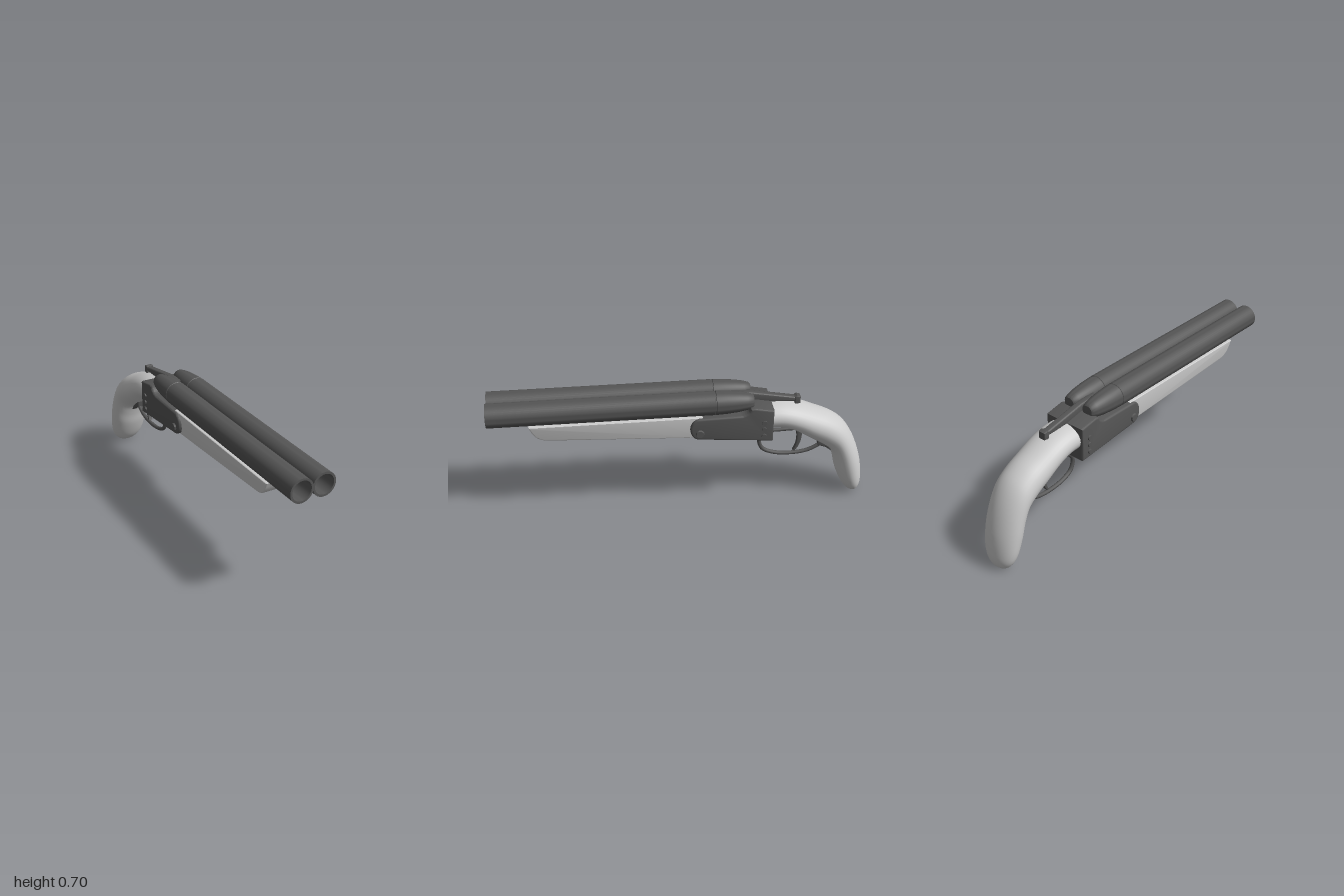
import * as THREE from 'three';
import { toCreasedNormals } from 'three/addons/utils/BufferGeometryUtils.js';

const wood = new THREE.MeshStandardMaterial({ color: 0xcccccc });
const metal = new THREE.MeshStandardMaterial({ color: 0x555555 });

const v2 = ([a, b]) => new THREE.Vector2(a, b);
const inPlane = ([z, y]) => new THREE.Vector3(0, y, z);

function add(parent, name, geometry, material) {
  const mesh = new THREE.Mesh(geometry, material);
  mesh.name = name;
  parent.add(mesh);
  return mesh;
}

// Extrudes a side outline given as [z, y] across x, centred, with rounded edges
function sidePlate(shape, width, bevel) {
  const geo = new THREE.ExtrudeGeometry(shape, {
    depth: width - 2 * bevel, bevelThickness: bevel, bevelSize: bevel,
    bevelOffset: -bevel, bevelSegments: 3, curveSegments: 12,
  });
  geo.translate(0, 0, bevel - width / 2);
  geo.rotateY(-Math.PI / 2);
  return geo;
}

function tube(points, radius, closed = false) {
  const curve = new THREE.CatmullRomCurve3(points.map(inPlane), closed);
  return new THREE.TubeGeometry(curve, 48, radius, 10, closed);
}

// Barrel with rounded breech end, seam groove and open bore, along z
function barrelGeometry() {
  const profile = [
    [0, -0.372], [0.03, -0.37], [0.038, -0.362], [0.046, -0.335], [0.054, -0.29],
    [0.06, -0.23], [0.063, -0.172], [0.0605, -0.17], [0.0605, -0.166], [0.063, -0.164],
    [0.063, 1], [0.052, 1], [0.052, 0.3], [0, 0.3],
  ].map(v2);
  const geo = new THREE.LatheGeometry(profile, 40);
  geo.rotateX(Math.PI / 2);
  return toCreasedNormals(geo, 0.6);
}

// Grip: elliptical rings between an upper and a lower outline
function gripGeometry() {
  // zTop, yTop, zBottom, yBottom, halfWidth
  const stations = [
    [-0.45, 0.602, -0.45, 0.455, 0.108], [-0.53, 0.598, -0.53, 0.45, 0.109],
    [-0.61, 0.58, -0.61, 0.42, 0.11], [-0.715, 0.54, -0.69, 0.368, 0.11],
    [-0.8, 0.502, -0.76, 0.325, 0.11], [-0.87, 0.45, -0.812, 0.28, 0.11],
    [-0.93, 0.36, -0.835, 0.22, 0.11], [-0.982, 0.215, -0.852, 0.15, 0.108],
    [-1, 0.09, -0.885, 0.07, 0.094], [-0.997, 0.045, -0.91, 0.03, 0.074],
    [-0.985, 0.014, -0.935, 0.008, 0.045], [-0.96, 0, -0.96, 0, 0.001],
  ];
  const top = new THREE.CatmullRomCurve3(stations.map((s) => new THREE.Vector3(s[4], s[1], s[0])));
  const bottom = new THREE.CatmullRomCurve3(stations.map((s) => new THREE.Vector3(s[4], s[3], s[2])));
  const rings = 55, sides = 32, pos = [], index = [];
  for (let j = 0; j <= rings; j++) {
    const a = top.getPoint(j / rings), b = bottom.getPoint(j / rings);
    for (let i = 0; i < sides; i++) {
      const t = (i / sides) * Math.PI * 2, s = Math.sin(t) / 2;
      pos.push(a.x * Math.cos(t), (a.y + b.y) / 2 + (a.y - b.y) * s, (a.z + b.z) / 2 + (a.z - b.z) * s);
      if (j === rings) continue;
      const p = j * sides + i, q = j * sides + ((i + 1) % sides);
      index.push(p, p + sides, q + sides, p, q + sides, q);
    }
  }
  const geo = new THREE.BufferGeometry();
  geo.setAttribute('position', new THREE.Float32BufferAttribute(pos, 3));
  geo.setIndex(index);
  geo.computeVertexNormals();
  return geo;
}

export function createModel() {
  const model = new THREE.Group();
  model.name = 'doubleBarrelModel';

  // Twin barrels
  for (const side of [-1, 1]) {
    const barrel = add(model, side > 0 ? 'leftBarrel' : 'rightBarrel', barrelGeometry(), metal);
    barrel.position.set(side * 0.0605, 0.637, 0);
  }

  // Receiver with round front ears and a raised rear block
  const body = new THREE.Shape();
  body.moveTo(-0.472, 0.418);
  body.lineTo(-0.08, 0.452);
  body.bezierCurveTo(-0.02, 0.46, -0.02, 0.565, -0.08, 0.577);
  body.lineTo(-0.3, 0.58);
  body.quadraticCurveTo(-0.34, 0.585, -0.35, 0.618);
  body.lineTo(-0.37, 0.622);
  body.lineTo(-0.472, 0.603);
  add(model, 'receiver', toCreasedNormals(sidePlate(body, 0.242, 0.01), 0.6), metal);

  // Hinge pins and side screws
  const screws = [[-0.085, 0.49, 0.026, 0.13], [-0.422, 0.535, 0.016, 0.127],
    [-0.422, 0.495, 0.016, 0.127], [-0.422, 0.455, 0.016, 0.127]];
  for (const side of [-1, 1]) {
    for (const [z, y, r, reach] of screws) {
      const geo = new THREE.CylinderGeometry(r * 0.75, r, 0.02, 20);
      geo.rotateZ(-side * Math.PI / 2);
      const big = r > 0.02;
      add(model, big ? 'hingePin' : 'sideScrew', toCreasedNormals(geo, 0.6), metal)
        .position.set(side * (reach - 0.01), y, z);
    }
  }

  // Fore-end, narrowing towards its flat underside
  const fore = new THREE.Shape();
  fore.moveTo(-0.1, 0.45);
  fore.lineTo(0.69, 0.491);
  fore.bezierCurveTo(0.755, 0.495, 0.77, 0.525, 0.79, 0.58);
  fore.lineTo(-0.1, 0.58);
  const foreGeo = sidePlate(fore, 0.22, 0.006);
  const p = foreGeo.attributes.position;
  for (let i = 0; i < p.count; i++) {
    p.setX(i, p.getX(i) * (1 - 0.9 * Math.max(0, 0.58 - p.getY(i))));
  }
  add(model, 'foreEnd', toCreasedNormals(foreGeo, 0.5), wood);

  // Small rod at the tip of the fore-end
  const rod = new THREE.CylinderGeometry(0.013, 0.013, 0.1, 20);
  rod.rotateX(Math.PI / 2);
  add(model, 'foreEndRod', rod, metal).position.set(0.002, 0.556, 0.775);

  // Curved grip
  add(model, 'grip', gripGeometry(), wood);

  // Top lever with its thumb piece
  const lever = new THREE.Shape([[-0.25, 0.625], [-0.25, 0.665], [-0.36, 0.66], [-0.61, 0.615],
    [-0.61, 0.592], [-0.46, 0.595]].map(v2));
  add(model, 'topLever', toCreasedNormals(sidePlate(lever, 0.038, 0.008), 0.6), metal);
  const thumb = new THREE.Shape([[-0.598, 0.575], [-0.598, 0.618], [-0.61, 0.624],
    [-0.629, 0.618], [-0.629, 0.58]].map(v2));
  add(model, 'leverThumbPiece', toCreasedNormals(sidePlate(thumb, 0.042, 0.005), 0.6), metal);

  // Trigger guard with its rear tang
  add(model, 'triggerGuard', tube([[-0.62, 0.412], [-0.54, 0.41], [-0.46, 0.402], [-0.423, 0.36],
    [-0.438, 0.3], [-0.5, 0.267], [-0.6, 0.256], [-0.69, 0.268], [-0.75, 0.298],
    [-0.78, 0.32]], 0.011), metal);
  const tang = new THREE.Shape([[-0.74, 0.35], [-0.745, 0.3], [-0.79, 0.285], [-0.826, 0.255],
    [-0.83, 0.3]].map(v2));
  add(model, 'guardTang', toCreasedNormals(sidePlate(tang, 0.03, 0.005), 0.6), metal);

  // Curved trigger
  const trigger = new THREE.Shape();
  trigger.moveTo(-0.61, 0.44);
  trigger.quadraticCurveTo(-0.645, 0.34, -0.608, 0.275);
  trigger.lineTo(-0.62, 0.273);
  trigger.quadraticCurveTo(-0.67, 0.34, -0.645, 0.44);
  add(model, 'trigger', toCreasedNormals(sidePlate(trigger, 0.022, 0.003), 0.6), metal);

  return model;
}
